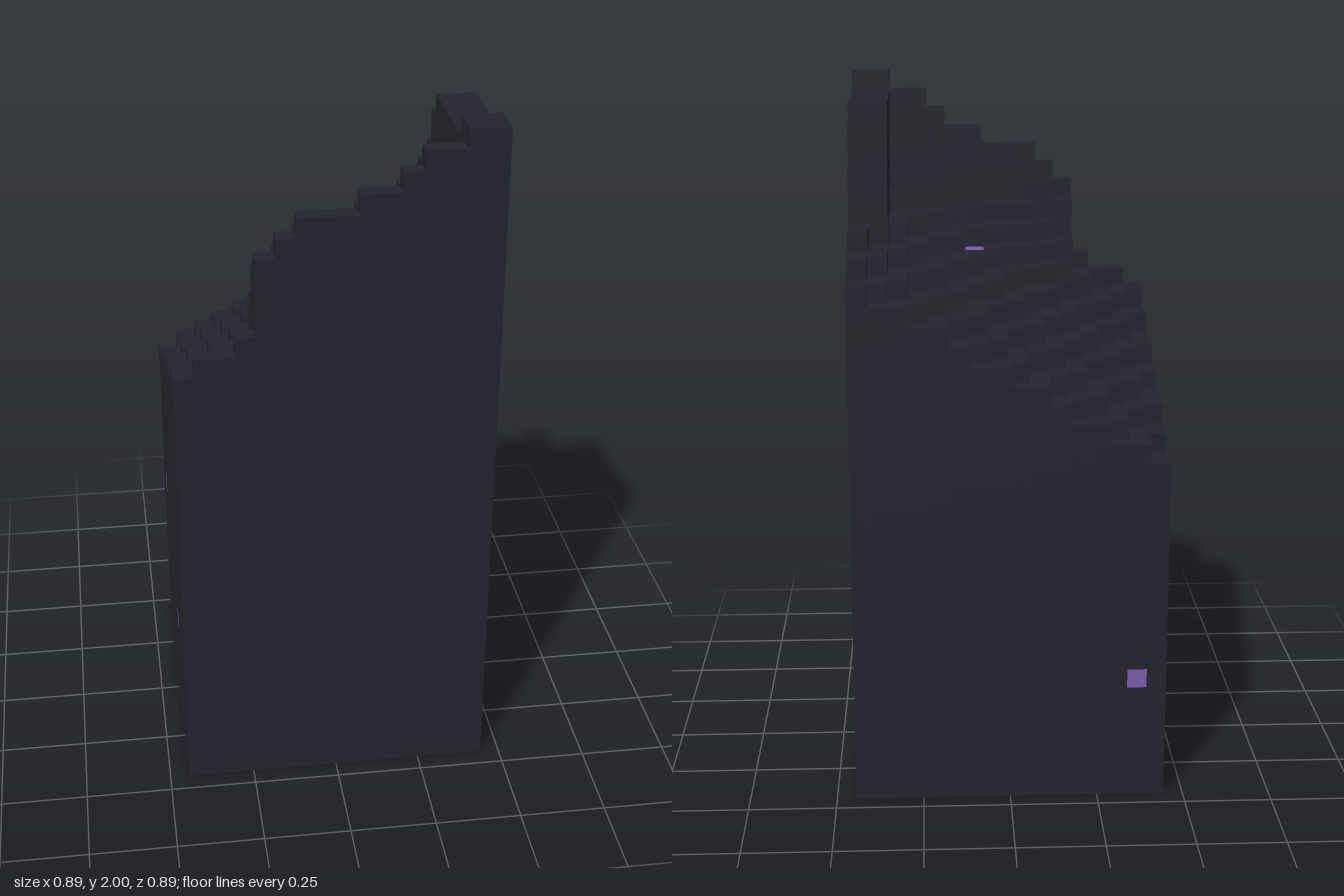
import * as THREE from 'three';

const N = 16, S = 1 / 18; // columns per side, voxel size

// Rim heights: front row by x, right-hand column by z
const FRONT = [24, 25, 25, 26, 30, 31, 32, 32, 32, 33, 33, 34, 35, 35, 36, 36];
const SIDE = [27, 27, 28, 28, 29, 29, 32, 34, 35, 35, 35, 35, 35, 35, 36, 36];
// Fall of the ground behind each rim, per step inward
const FRONT_DROP = [0, 1, 3, 4, 5, 6];
const SIDE_DROP = [0, 0, 6];

// Height of a column: sloping ground, with cliffs along the front and side
function height(x, z) {
  if (z === N - 1) return FRONT[x];
  if (x === N - 1) return SIDE[z];
  let h = Math.round(18 + 0.6 * x + 0.4 * z);
  if (x > 6 && z > 6) h = Math.min(h, 29);
  const f = FRONT_DROP[N - 1 - z], s = SIDE_DROP[N - 1 - x];
  if (f !== undefined && x > 3) h = Math.max(h, FRONT[x] - f);
  if (s !== undefined && z > 5) h = Math.max(h, SIDE[z] - s);
  return h;
}

// Shallow hollow in the right-hand wall: lowest and highest voxel by z
const HOLLOW = { 10: [24, 27], 11: [22, 28], 12: [25, 25] };

function solid(x, y, z) {
  if (x < 0 || z < 0 || x >= N || z >= N || y < 0) return false;
  if (x === N - 1 && HOLLOW[z] && y >= HOLLOW[z][0] && y <= HOLLOW[z][1]) return false;
  return y < height(x, z);
}

// Crystal voxels, as x,y,z
const CRYSTALS = new Set(['9,26,10', '15,20,1', '15,10,7', '1,6,0', '0,10,2', '0,6,10']);

// Face directions: normal n and edges u, v with u x v = n
const FACES = [
  [[1, 0, 0], [0, 1, 0], [0, 0, 1]], [[-1, 0, 0], [0, 0, 1], [0, 1, 0]],
  [[0, 1, 0], [0, 0, 1], [1, 0, 0]], [[0, -1, 0], [1, 0, 0], [0, 0, 1]],
  [[0, 0, 1], [1, 0, 0], [0, 1, 0]], [[0, 0, -1], [0, 1, 0], [1, 0, 0]],
];

function addFace(out, cell, [n, u, v]) {
  for (const [a, b] of [[0, 0], [1, 0], [1, 1], [0, 0], [1, 1], [0, 1]]) {
    const p = cell.map((c, i) => c + Math.max(n[i], 0) + a * u[i] + b * v[i]);
    out.push((p[0] - N / 2) * S, p[1] * S, (p[2] - N / 2) * S);
  }
}

function makeMesh(name, positions, material) {
  const geo = new THREE.BufferGeometry();
  geo.setAttribute('position', new THREE.Float32BufferAttribute(positions, 3));
  geo.computeVertexNormals();
  const mesh = new THREE.Mesh(geo, material);
  mesh.name = name;
  return mesh;
}

export function createModel() {
  const stone = new THREE.MeshStandardMaterial({ color: 0x23232d });
  stone.name = 'dark stone';
  const purple = new THREE.MeshStandardMaterial({ color: 0x7b5cab });
  purple.name = 'purple crystal';

  // Keep only the exposed voxel faces
  const rock = [], crystal = [];
  for (let x = 0; x < N; x++)
    for (let z = 0; z < N; z++)
      for (let y = 0; y < height(x, z); y++) {
        if (!solid(x, y, z)) continue;
        const out = CRYSTALS.has(`${x},${y},${z}`) ? crystal : rock;
        for (const face of FACES) {
          const n = face[0];
          if (!solid(x + n[0], y + n[1], z + n[2])) addFace(out, [x, y, z], face);
        }
      }

  const group = new THREE.Group();
  group.name = 'rockBlock';
  group.add(makeMesh('steppedRock', rock, stone), makeMesh('crystals', crystal, purple));
  return group;
}
